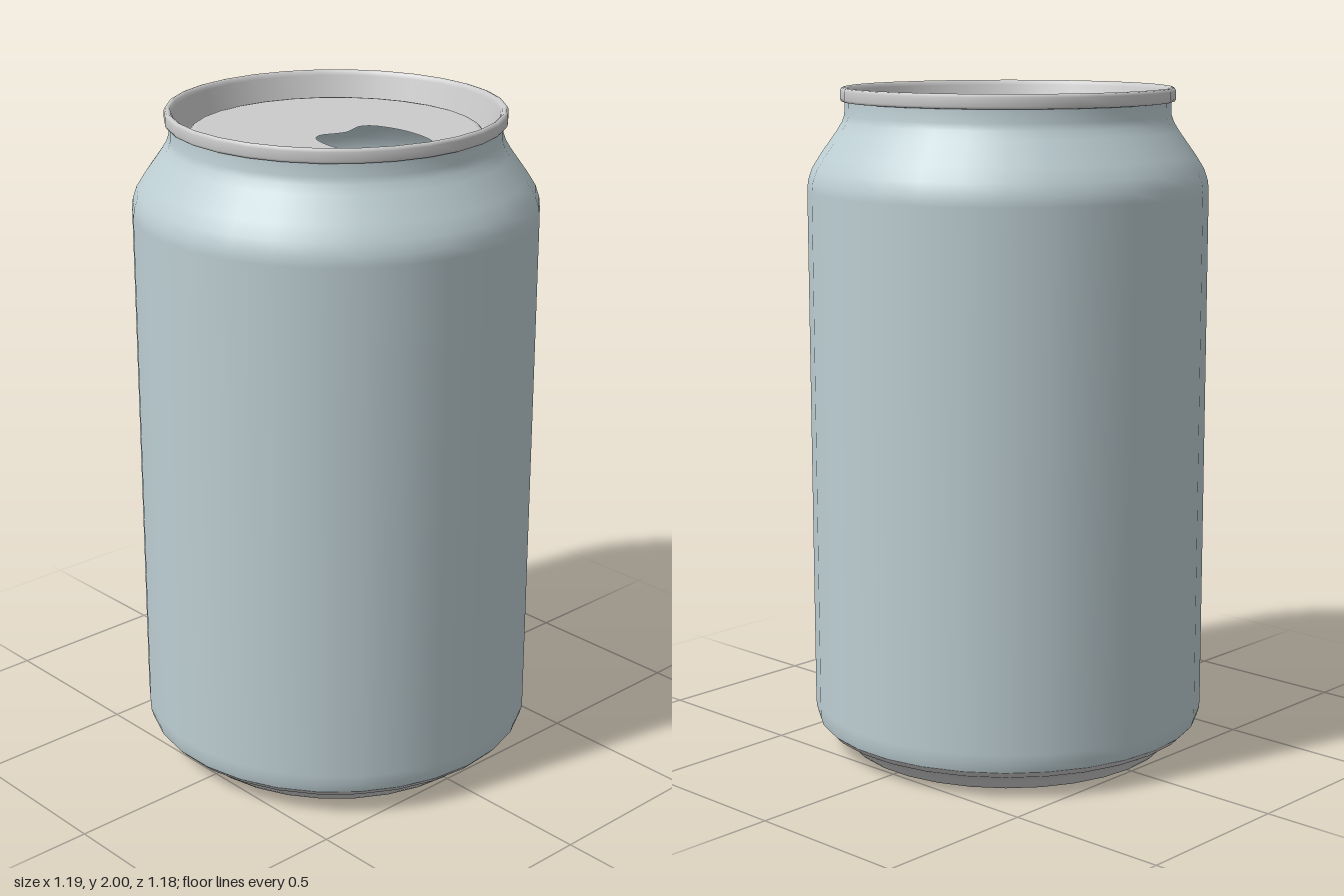
import * as THREE from 'three';

const SIDES = 30;
const metal = new THREE.MeshStandardMaterial({ color: 0xcccccc, side: THREE.DoubleSide });
const paint = new THREE.MeshStandardMaterial({ color: 0xbdced3, side: THREE.DoubleSide });

// Revolved part from [radius, height] pairs, with a corner on the x axis
function turned(name, profile, material) {
  const points = profile.map(([r, y]) => new THREE.Vector2(r, y));
  const mesh = new THREE.Mesh(new THREE.LatheGeometry(points, SIDES, Math.PI / 2), material);
  mesh.name = name;
  return mesh;
}

// Flat lid panel with the drinking opening cut out
function lidPanel(radius, height) {
  const ring = [];
  for (let i = 0; i < SIDES; i++) {
    const a = (i / SIDES) * Math.PI * 2;
    ring.push(new THREE.Vector2(Math.cos(a) * radius, Math.sin(a) * radius));
  }
  const shape = new THREE.Shape(ring);

  // Half of the opening, mirrored across the x axis
  const half = [[0.36, 0.05], [0.32, 0.09], [0.25, 0.123], [0.16, 0.138], [0.08, 0.129], [0.03, 0.106], [0.016, 0.075], [0.03, 0.035]];
  const outline = [[0.38, 0], ...half, [0.04, 0], ...half.map(([x, y]) => [x, -y]).reverse()];
  const curve = new THREE.CatmullRomCurve3(outline.map(([x, y]) => new THREE.Vector3(x, y, 0)), true);
  shape.holes.push(new THREE.Path(curve.getPoints(48).slice(0, -1).map((p) => new THREE.Vector2(p.x, p.y))));

  const geometry = new THREE.ShapeGeometry(shape);
  geometry.rotateX(-Math.PI / 2);
  geometry.translate(0, height, 0);
  const mesh = new THREE.Mesh(geometry, metal);
  mesh.name = 'lidPanel';
  return mesh;
}

export function createModel() {
  const can = new THREE.Group();
  can.name = 'drinkCan';

  // Painted wall, shoulder and neck
  can.add(turned('body', [
    [0.587, 0.085], [0.594, 0.11], [0.595, 0.14], [0.595, 1.70], [0.592, 1.73], [0.58, 1.765],
    [0.555, 1.805], [0.505, 1.875], [0.49, 1.90], [0.483, 1.92], [0.482, 1.958],
  ], paint));

  // Concave base inside the foot
  can.add(turned('baseDome', [
    [0, 0.19], [0.12, 0.183], [0.24, 0.16], [0.34, 0.125], [0.41, 0.085], [0.445, 0.045], [0.46, 0.012], [0.47, 0],
  ], metal));

  // Foot ring rising to the wall
  can.add(turned('foot', [
    [0.47, 0], [0.49, 0.003], [0.502, 0.014], [0.515, 0.035], [0.535, 0.05], [0.567, 0.064], [0.587, 0.085],
  ], metal));

  // Rolled rim, countersunk wall and groove around the lid
  can.add(turned('rim', [
    [0.482, 1.958], [0.491, 1.959], [0.495, 1.966], [0.495, 1.99], [0.491, 1.998], [0.484, 2.0], [0.477, 1.996],
    [0.472, 1.985], [0.452, 1.91], [0.447, 1.90], [0.44, 1.90], [0.435, 1.908], [0.43, 1.92], [0.422, 1.928], [0.41, 1.93],
  ], metal));

  can.add(lidPanel(0.41, 1.93));
  return can;
}
